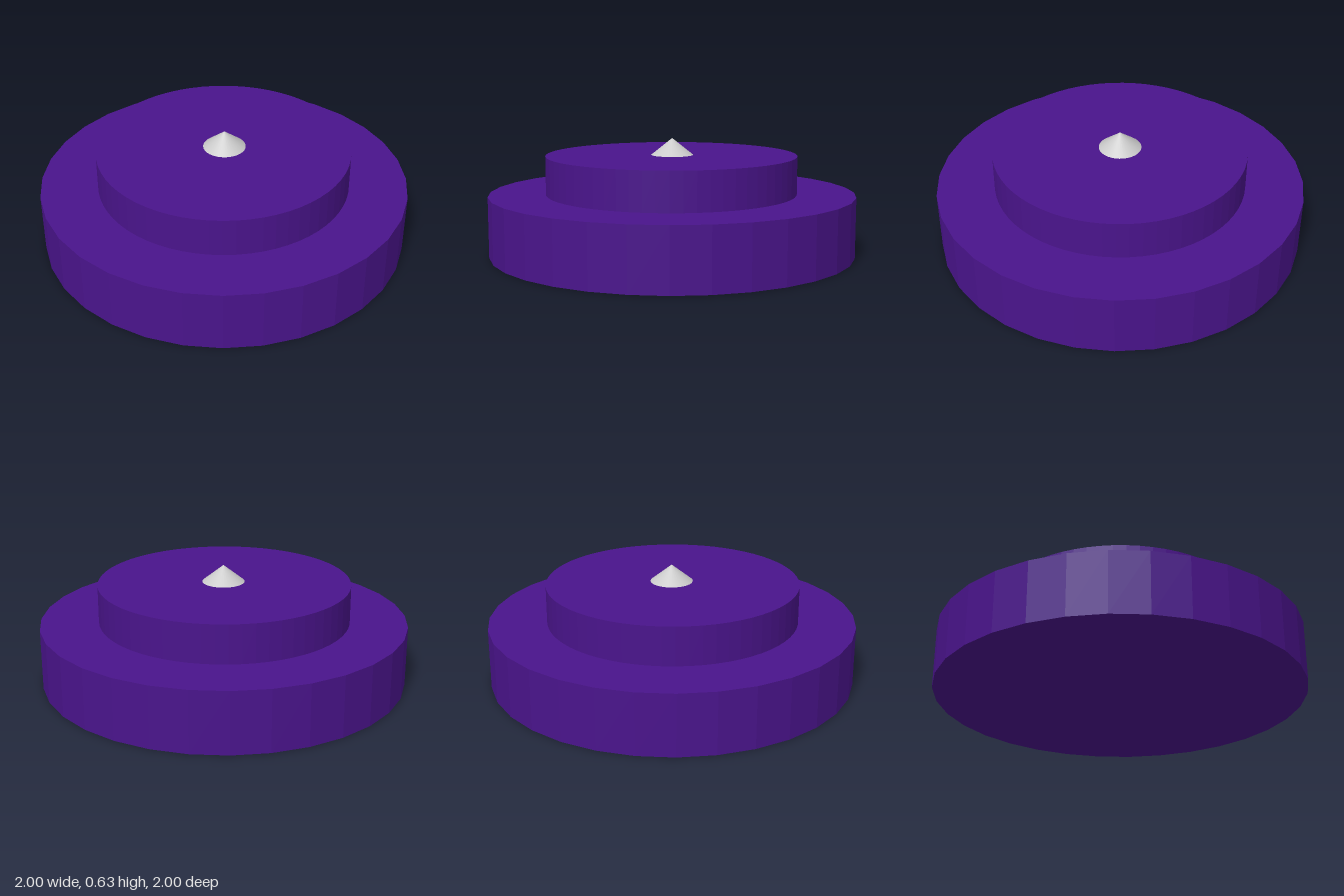
import * as THREE from 'three';

const purple = new THREE.MeshStandardMaterial({ color: 0x4a148c, flatShading: true });
const grey = new THREE.MeshStandardMaterial({ color: 0xcccccc });

export function createModel() {
  const group = new THREE.Group();

  // Adds a round part standing on height y0
  const addRound = (name, rTop, rBottom, y0, y1, sides, material, x = 0, z = 0) => {
    const geometry = new THREE.CylinderGeometry(rTop, rBottom, y1 - y0, sides);
    const mesh = new THREE.Mesh(geometry, material);
    mesh.name = name;
    mesh.position.set(x, (y0 + y1) / 2, z);
    group.add(mesh);
  };

  // Wide lower disc, narrower upper disc and a small pointed tip
  addRound('baseDisc', 1, 1, 0, 0.33, 32, purple);
  addRound('upperDisc', 0.686, 0.686, 0.33, 0.538, 64, purple, -0.003, 0.003);
  addRound('tipCone', 0, 0.115, 0.538, 0.63, 32, grey, 0.002, 0);

  return group;
}
